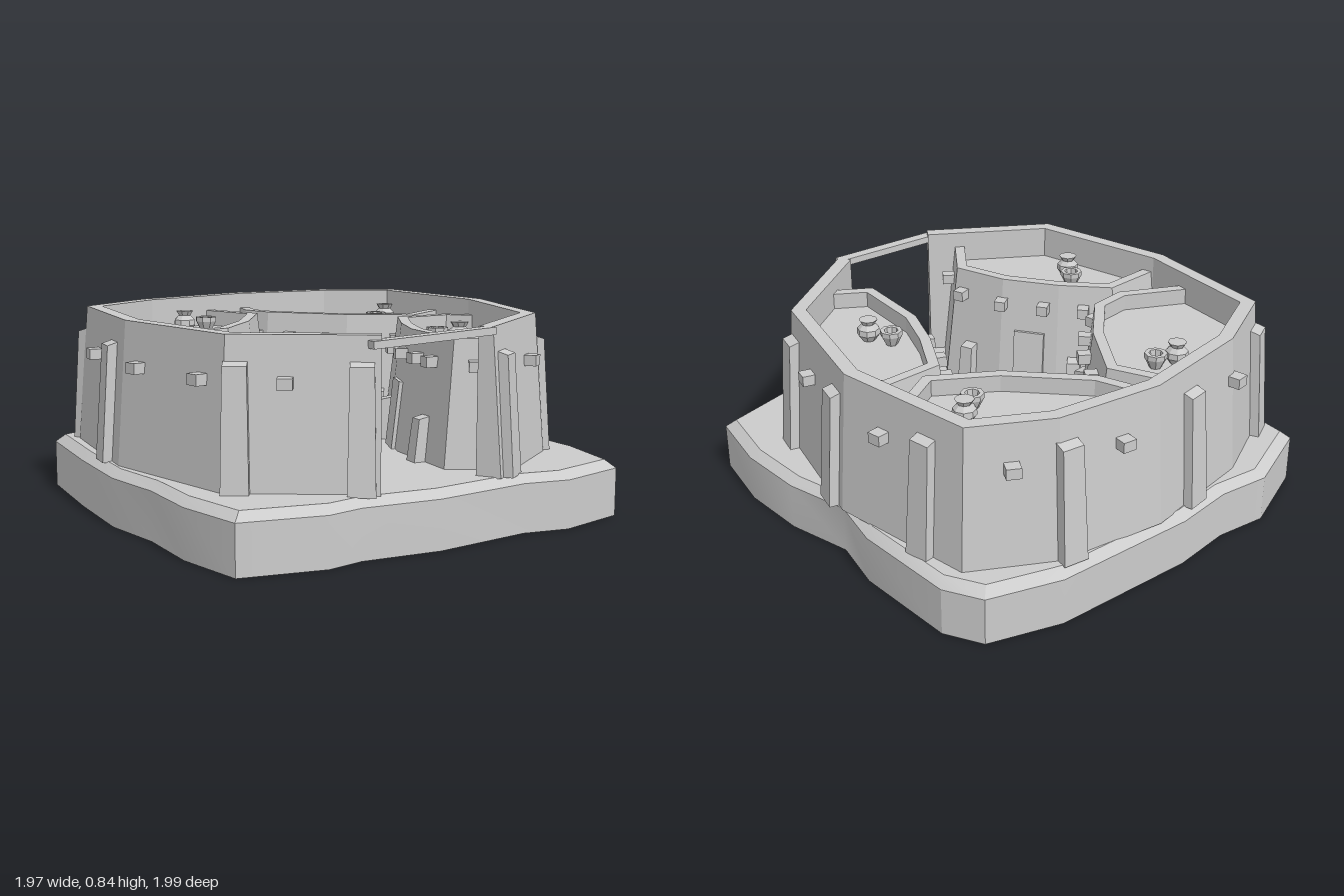
import * as THREE from 'three';
import { toCreasedNormals } from 'three/addons/utils/BufferGeometryUtils.js';

const stone = new THREE.MeshStandardMaterial({ color: 0xcccccc, side: THREE.DoubleSide });
const FLOOR = 0.235, ROOF = 0.7;

function mesh(name, geometry) {
  const m = new THREE.Mesh(geometry, stone);
  m.name = name;
  return m;
}

// Joins a row of cross-sections (equal lists of [x, y, z]) into a skin
function skin(sections, { closedRow = false, closedSection = false, crease = 0.3 } = {}) {
  const n = sections[0].length, idx = [];
  const rows = closedRow ? sections.length : sections.length - 1;
  for (let i = 0; i < rows; i++) {
    const a = i * n, b = ((i + 1) % sections.length) * n;
    for (let j = 0; j < (closedSection ? n : n - 1); j++) {
      const k = (j + 1) % n;
      idx.push(a + j, a + k, b + k, a + j, b + k, b + j);
    }
  }
  if (closedSection) {
    const e = (sections.length - 1) * n;
    idx.push(0, 3, 2, 0, 2, 1, e, e + 1, e + 2, e, e + 2, e + 3);
  }
  const g = new THREE.BufferGeometry();
  g.setAttribute('position', new THREE.Float32BufferAttribute(sections.flat(2), 3));
  g.setIndex(idx);
  return toCreasedNormals(g, crease);
}

// Outward direction of the edge from p to q
function edgeNormal(p, q) {
  const dx = q[0] - p[0], dz = q[1] - p[1], l = Math.hypot(dx, dz);
  return [dz / l, -dx / l];
}

// Standing wall along a path, with a sloping outer face
function wall(name, path, { batter, thick, top }) {
  const sections = path.map((p, i) => {
    const a = edgeNormal(path[Math.max(i - 1, 0)], path[Math.max(i, 1)]);
    const last = path.length - 1;
    const b = edgeNormal(path[Math.min(i, last - 1)], path[Math.min(i + 1, last)]);
    const s = 1 / Math.max(1 + a[0] * b[0] + a[1] * b[1], 0.6);
    const n = [(a[0] + b[0]) * s, (a[1] + b[1]) * s];
    const at = (d, y) => [p[0] + n[0] * d, y, p[1] + n[1] * d];
    return [at(batter, FLOOR), at(0, top), at(-thick, top), at(-thick, FLOOR)];
  });
  return mesh(name, skin(sections, { closedSection: true, crease: 0.05 }));
}

// Puts an object on the path's nearest edge, its +z facing outward
function attach(object, path, x, z, y) {
  let best = Infinity;
  for (let i = 0; i < path.length - 1; i++) {
    const [p, q] = [path[i], path[i + 1]];
    const dx = q[0] - p[0], dz = q[1] - p[1];
    const t = THREE.MathUtils.clamp(((x - p[0]) * dx + (z - p[1]) * dz) / (dx * dx + dz * dz), 0, 1);
    const px = p[0] + dx * t, pz = p[1] + dz * t, d = Math.hypot(px - x, pz - z);
    if (d >= best) continue;
    best = d;
    const n = edgeNormal(p, q);
    object.position.set(px, y, pz);
    object.rotation.y = Math.atan2(n[0], n[1]);
  }
  return object;
}

// Pier that narrows and leans back towards its top
function buttress(w, h, foot, head) {
  const g = new THREE.BoxGeometry(1, 1, 1), p = g.attributes.position;
  for (let i = 0; i < p.count; i++) {
    const up = p.getY(i) > 0, out = p.getZ(i) > 0;
    p.setXYZ(i, p.getX(i) * w * (up ? 0.85 : 1),
      up ? h - (out ? 0.025 : 0) : 0, out ? (up ? head : foot) : -0.03);
  }
  return mesh('buttress', toCreasedNormals(g, 0.1));
}

const peg = (w = 0.06) => mesh('beamEnd', new THREE.BoxGeometry(w, 0.045, 0.13));

function pot(name, profile, x, z) {
  const points = profile.map(([r, y]) => new THREE.Vector2(r, y));
  const m = mesh(name, toCreasedNormals(new THREE.LatheGeometry(points, 8), 0.3));
  m.position.set(x, ROOF, z);
  return m;
}
const JAR = [[0, 0], [0.028, 0], [0.05, 0.03], [0.048, 0.055], [0.028, 0.075], [0.04, 0.095], [0, 0.097]];
const BOWL = [[0, 0], [0.025, 0], [0.048, 0.045], [0.048, 0.065], [0.03, 0.065], [0.024, 0.02], [0, 0.02]];

// Ground slab outline, clockwise from above
const GROUND = [[-0.9, -0.86], [-0.55, -1], [-0.32, -0.97], [-0.05, -1], [0.59, -0.965], [0.9, -0.86],
  [0.98, -0.7], [0.98, -0.24], [0.92, 0], [0.98, 0.29], [0.98, 0.6], [0.91, 0.91], [0.59, 0.985],
  [0.39, 0.945], [-0.05, 0.99], [-0.39, 0.955], [-0.55, 0.985], [-0.9, 0.91], [-0.955, 0.6],
  [-0.945, 0.29], [-0.985, 0], [-0.955, -0.4]];

// Town wall, from the left of the gate round to its right
const RAMPART = [[-0.27, 0.9], [-0.76, 0.575], [-0.886, -0.06], [-0.8, -0.68], [-0.45, -0.85],
  [0.07, -0.93], [0.53, -0.86], [0.84, -0.68], [0.91, -0.05], [0.73, 0.575], [0.25, 0.9]];
const PIERS = [[-0.33, 0.86], [-0.73, 0.6], [-0.9, -0.21], [-0.77, -0.71], [-0.14, -0.9], [0.5, -0.87],
  [0.88, -0.5], [0.91, 0.04], [0.76, 0.52], [0.33, 0.86]];
const PEGS = [[-0.57, 0.7], [-0.82, 0.46], [-0.88, 0.06], [-0.87, -0.43], [-0.45, -0.86], [0.25, -0.9],
  [0.88, -0.27], [0.84, 0.31], [0.6, 0.68], [0.69, -0.77]];

// Houses: courtyard face, back edge under the town wall, fittings as [x, z]
const HOUSES = [
  { name: 'backRightHouse',
    face: [[-0.1, -0.89], [0.02, -0.6], [-0.17, -0.33], [-0.38, -0.13], [-0.55, -0.11], [-0.85, -0.27]],
    back: [[-0.78, -0.66], [-0.43, -0.82]],
    pegs: [[-0.42, -0.1], [-0.27, -0.2], [-0.14, -0.32], [-0.03, -0.46]],
    piers: [[-0.38, -0.09], [0, -0.52]], door: [-0.1, -0.43], jar: [-0.33, -0.66], bowl: [-0.235, -0.63] },
  { name: 'backLeftHouse',
    face: [[0.86, -0.3], [0.61, -0.16], [0.35, -0.33], [0.09, -0.62], [0.045, -0.76], [0.08, -0.9]],
    back: [[0.51, -0.83], [0.81, -0.66]],
    pegs: [[0.05, -0.66], [0.16, -0.53], [0.29, -0.4], [0.43, -0.28], [0.54, -0.21]],
    piers: [[0.13, -0.55], [0.47, -0.25]], door: [0.25, -0.44], jar: [0.64, -0.45], bowl: [0.55, -0.39] },
  { name: 'frontLeftHouse',
    face: [[0.41, 0.77], [0.24, 0.66], [0.28, 0.3], [0.37, 0.09], [0.5, -0.13], [0.76, -0.13], [0.88, -0.03]],
    back: [[0.71, 0.55]],
    pegs: [[0.43, -0.06], [0.35, 0.08], [0.28, 0.25], [0.25, 0.4], [0.22, 0.52], [0.3, 0.72]],
    piers: [[0.39, 0.02], [0.24, 0.5]], door: [0.31, 0.19], jar: [0.485, 0.365], bowl: [0.44, 0.265] },
  { name: 'frontRightHouse',
    face: [[-0.85, -0.05], [-0.56, -0.06], [-0.4, 0.12], [-0.26, 0.34], [-0.19, 0.58], [-0.36, 0.8]],
    back: [[-0.73, 0.55]],
    pegs: [[-0.46, 0.02], [-0.33, 0.15], [-0.23, 0.33], [-0.14, 0.52], [-0.24, 0.72]],
    piers: [[-0.44, 0.05], [-0.2, 0.48]], door: [-0.32, 0.22], jar: [-0.63, 0.3], bowl: [-0.565, 0.21] },
];

function house({ name, face, back, pegs, piers, door, jar, bowl }) {
  const group = new THREE.Group();
  group.name = name;
  group.add(wall('houseWall', face, { batter: 0.06, thick: 0.045, top: 0.77 }));
  // Flat roof behind the parapet
  const outline = [...face, ...back].map(([x, z]) => new THREE.Vector2(x, -z));
  const roof = mesh('roof', new THREE.ShapeGeometry(new THREE.Shape(outline)));
  roof.geometry.rotateX(-Math.PI / 2).translate(0, ROOF, 0);
  group.add(roof);
  pegs.forEach(([x, z]) => group.add(attach(peg(0.05), face, x, z, 0.66)));
  piers.forEach(([x, z]) => group.add(attach(buttress(0.07, 0.21, 0.11, 0.085), face, x, z, FLOOR)));
  // Door slab following the slope of the wall
  const slab = mesh('door', new THREE.BoxGeometry(0.14, 0.3, 0.03).rotateX(-0.11).translate(0, 0.15, 0.045));
  group.add(attach(slab, face, ...door, FLOOR));
  group.add(pot('jar', JAR, ...jar), pot('bowl', BOWL, ...bowl));
  return group;
}

export function createModel() {
  const model = new THREE.Group();
  model.name = 'walledTown';
  // Hollow ground slab with a bevelled rim
  model.add(mesh('ground', skin(GROUND.map(([x, z]) =>
    [[x, 0, z], [x, 0.205, z], [x * 0.96, 0.24, z * 0.96], [0, 0.24, 0]]), { closedRow: true, crease: 0.45 })));
  model.add(wall('townWall', RAMPART, { batter: 0.045, thick: 0.06, top: 0.84 }));
  PIERS.forEach(([x, z]) => model.add(attach(buttress(0.11, 0.515, 0.085, 0.05), RAMPART, x, z, FLOOR)));
  PEGS.forEach(([x, z]) => model.add(attach(peg(), RAMPART, x, z, 0.66)));
  // Slightly crooked beam over the gate
  const lintel = mesh('gateBeam', new THREE.BoxGeometry(0.57, 0.03, 0.05));
  lintel.position.set(-0.03, 0.815, 0.89);
  lintel.rotation.z = 0.035;
  model.add(lintel);
  HOUSES.forEach((h) => model.add(house(h)));
  return model;
}
